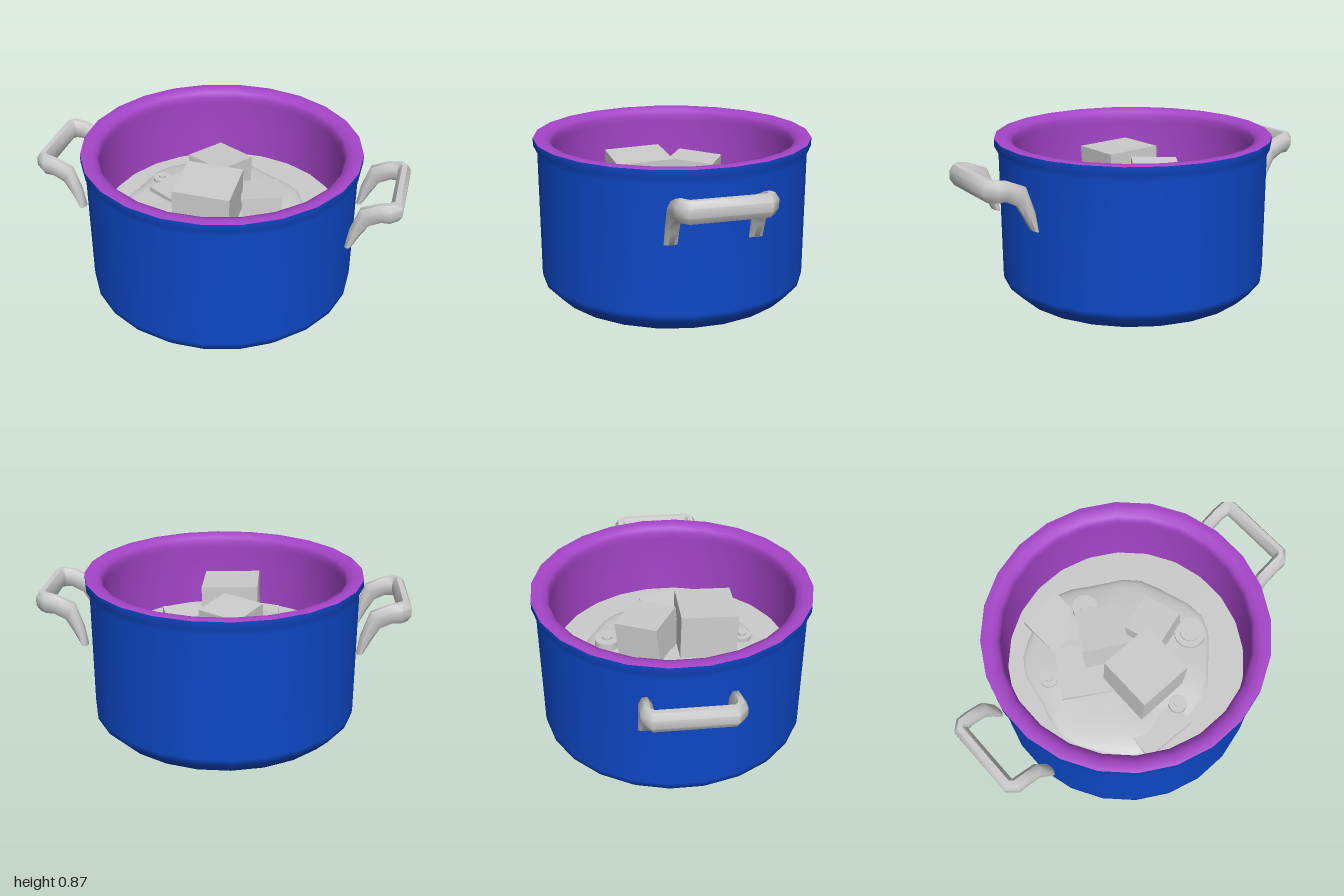
import * as THREE from 'three';
import { toCreasedNormals } from 'three/addons/utils/BufferGeometryUtils.js';

const grey = new THREE.MeshStandardMaterial({ color: 0xcccccc });
const blue = new THREE.MeshStandardMaterial({ color: 0x0d47c4 });
const purple = new THREE.MeshStandardMaterial({ color: 0xa545c8 });

const SIDES = 24;
const SOUP_Y = 0.44;

function add(parent, name, geometry, material = grey) {
  const mesh = new THREE.Mesh(geometry, material);
  mesh.name = name;
  parent.add(mesh);
  return mesh;
}

function lathe(points, sides = SIDES) {
  return new THREE.LatheGeometry(points.map(([r, y]) => new THREE.Vector2(r, y)), sides, Math.PI / sides);
}

// Handle: an eight-sided section swept along stations of
// [centre x, y, z, half width (x, z), half height (x, y)], mirrored in z
function handleGeometry() {
  const half = [
    [0.742, 0.495, 0.218, 0, 0.033, -0.018, -0.004],
    [0.77, 0.585, 0.218, 0, 0.033, -0.03, 0.008],
    [0.812, 0.685, 0.218, 0, 0.033, -0.025, 0.045],
    [0.89, 0.722, 0.218, 0, 0.033, -0.008, 0.05],
    [0.94, 0.728, 0.216, 0.008, 0.034, 0, 0.055],
    [0.967, 0.728, 0.19, 0.033, 0.012, 0, 0.055],
  ];
  const mirrored = half.slice().reverse().map(([x, y, z, ox, oz, ux, uy]) => [x, y, -z, ox, -oz, ux, uy]);
  const stations = [...half, ...mirrored];
  const N = 8, pos = [], index = [];
  for (const [x, y, z, ox, oz, ux, uy] of stations) {
    for (let j = 0; j < N; j++) {
      const a = ((j + 0.5) / N) * Math.PI * 2;
      const c = Math.cos(a) * 1.08, s = Math.sin(a) * 1.08;
      pos.push(x + ox * c + ux * s, y + uy * s, z + oz * c);
    }
  }
  const last = (stations.length - 1) * N;
  for (let i = 0; i < last; i += N) {
    for (let j = 0; j < N; j++) {
      const k = (j + 1) % N;
      index.push(i + j, i + N + j, i + k, i + k, i + N + j, i + N + k);
    }
  }
  for (let j = 1; j < N - 1; j++) {
    index.push(0, j, j + 1, last, last + j + 1, last + j);
  }
  const g = new THREE.BufferGeometry();
  g.setAttribute('position', new THREE.Float32BufferAttribute(pos, 3));
  g.setIndex(index);
  return toCreasedNormals(g, 0.9);
}

// Low, uneven dome of thick stew
function moundGeometry() {
  const g = new THREE.SphereGeometry(1, 32, 10, 0, Math.PI * 2, 0, Math.PI / 2);
  const p = g.attributes.position;
  for (let i = 0; i < p.count; i++) {
    const x = p.getX(i), y = p.getY(i), z = p.getZ(i);
    const a = Math.atan2(z, x), r = Math.hypot(x, z);
    const radius = 0.52 + r * (0.02 * Math.sin(3 * a + 1) + 0.015 * Math.sin(7 * a));
    const height = 0.06 + 0.012 * r * Math.sin(5 * a + 4 * r);
    p.setXYZ(i, x * radius, y * height, z * radius);
  }
  g.computeVertexNormals();
  return g;
}

export function createModel() {
  const model = new THREE.Group();
  model.name = 'cookingPot';

  // Pot shell: chamfered base, straight wall, flared collar
  add(model, 'potBody', lathe([
    [0, 0], [0.665, 0], [0.735, 0.07], [0.737, 0.1], [0.737, 0.78], [0.758, 0.82], [0.758, 0.862],
  ]), blue);

  // Rounded rim and inner wall
  add(model, 'rimAndLining', lathe([
    [0.758, 0.862], [0.735, 0.867], [0.705, 0.865], [0.675, 0.85], [0.66, 0.825],
    [0.665, 0.79], [0.667, 0.6], [0.662, 0.4],
  ]), purple);

  // Handles on both sides
  const handle = handleGeometry();
  add(model, 'leftHandle', handle);
  add(model, 'rightHandle', handle).rotation.y = Math.PI;

  // Soup surface and the stew rising through it
  const soup = add(model, 'soupSurface', new THREE.CircleGeometry(0.667, SIDES));
  soup.rotation.x = -Math.PI / 2;
  soup.position.y = SOUP_Y;
  add(model, 'stewMound', moundGeometry()).position.set(-0.05, SOUP_Y, -0.01);

  // Diced chunks: [x, top y, z, size, turn, tilt x, tilt z]
  const chunks = [
    [-0.03, 0.75, 0.18, 0.31, 0.01, 0.03, -0.03],
    [-0.05, 0.71, -0.14, 0.25, -0.53, -0.08, 0.03],
    [-0.23, 0.51, -0.085, 0.3, -0.56, 0, 0],
    [0.22, 0.61, -0.015, 0.22, 0.28, -0.08, 0.04],
    [-0.165, 0.485, -0.42, 0.25, 0.02, 0.02, 0.02],
    [-0.14, 0.475, 0.36, 0.31, -0.03, 0.02, -0.02],
  ];
  for (const [x, top, z, size, turn, tiltX, tiltZ] of chunks) {
    const chunk = add(model, 'dicedChunk', new THREE.BoxGeometry(size, size, size));
    chunk.position.set(x, top - size / 2, z);
    chunk.rotation.set(tiltX, turn, tiltZ, 'YXZ');
  }

  // Round slices with a small raised core: [x, top y, z, radius, core radius]
  const slices = [
    [0.01, 0.55, -0.36, 0.07, 0.028],
    [-0.41, 0.51, -0.18, 0.05, 0.02],
    [0.355, 0.51, 0.14, 0.088, 0.055],
    [0.02, 0.51, 0.4, 0.05, 0.022],
  ];
  for (const [x, top, z, r, core] of slices) {
    const slice = lathe([[r, -0.15], [r, -0.012], [core, -0.012], [core, 0], [0, 0]], 20);
    add(model, 'vegetableSlice', toCreasedNormals(slice, 0.6)).position.set(x, top, z);
  }

  return model;
}
